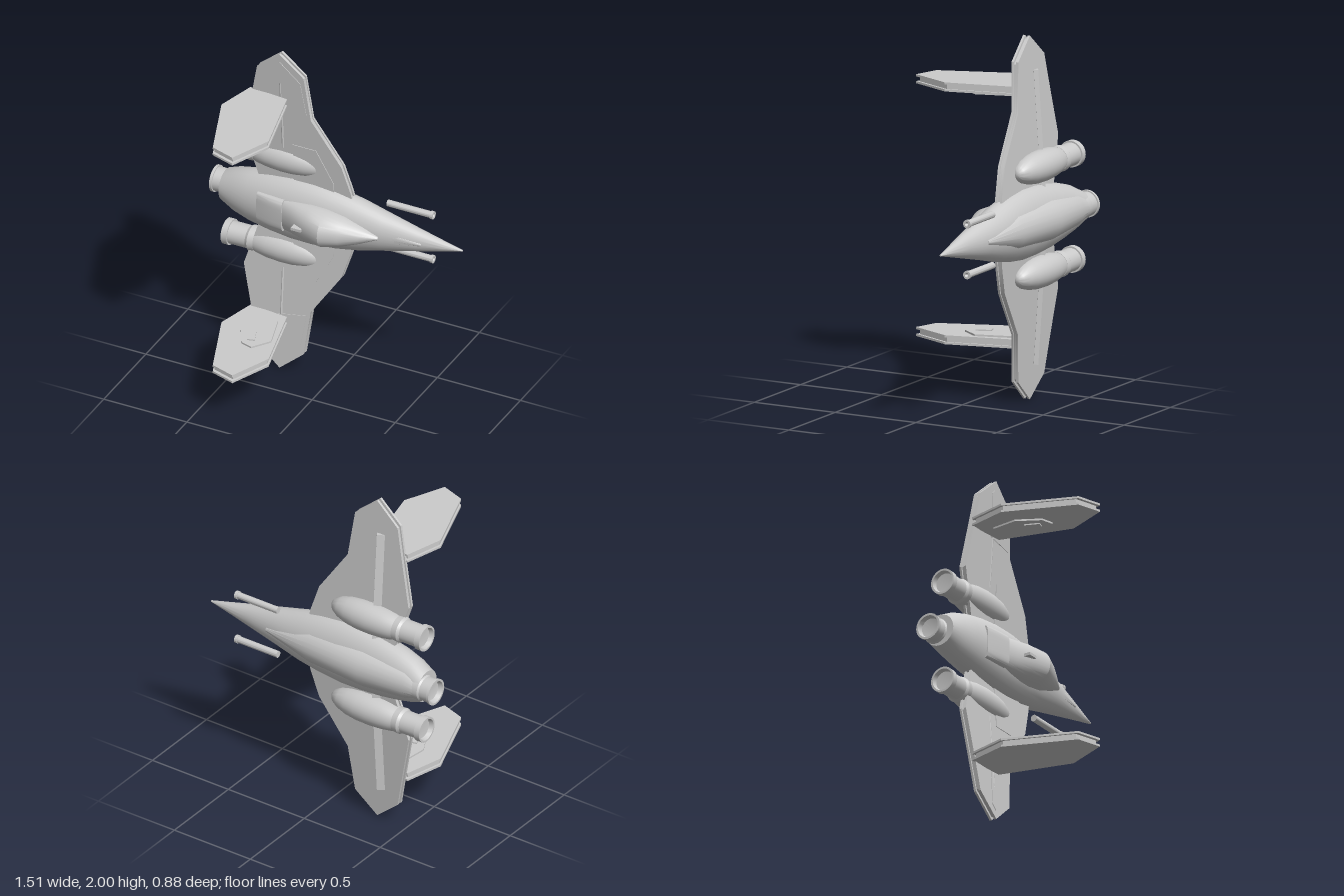
import * as THREE from 'three';
import { toCreasedNormals } from 'three/addons/utils/BufferGeometryUtils.js';

const grey = new THREE.MeshStandardMaterial({ color: 0xcccccc });

function add(parent, name, geometry, crease = 0.5) {
  const mesh = new THREE.Mesh(toCreasedNormals(geometry, crease), grey);
  mesh.name = name;
  parent.add(mesh);
  return mesh;
}

// Loft along x; each station is [x, halfWidthY, centreZ, heightUp, heightDown]
function loft(stations, sides = 32, power = 1) {
  const pos = [], idx = [];
  const bend = v => Math.sign(v) * Math.pow(Math.abs(v), power);
  for (const [x, w, zc, up, down] of stations) {
    for (let i = 0; i < sides; i++) {
      const a = (i / sides) * Math.PI * 2;
      const s = bend(Math.sin(a));
      pos.push(x, 1 + w * bend(Math.cos(a)), zc + s * (s > 0 ? up : down));
    }
  }
  const n = stations.length;
  for (let k = 0; k < n - 1; k++) {
    for (let i = 0; i < sides; i++) {
      const a = k * sides + i, b = k * sides + (i + 1) % sides;
      idx.push(a, b, b + sides, a, b + sides, a + sides);
    }
  }
  // End caps
  for (const [k, front] of [[0, false], [n - 1, true]]) {
    const c = pos.length / 3;
    pos.push(stations[k][0], 1, stations[k][2]);
    for (let i = 0; i < sides; i++) {
      const a = k * sides + i, b = k * sides + (i + 1) % sides;
      if (front) idx.push(c, a, b); else idx.push(c, b, a);
    }
  }
  const g = new THREE.BufferGeometry();
  g.setAttribute('position', new THREE.Float32BufferAttribute(pos, 3));
  g.setIndex(idx);
  g.computeVertexNormals();
  return g;
}

// Round body along x; profile is [x, radius] from back to front
function turned(profile, y, z) {
  const pts = profile.map(([x, r]) => new THREE.Vector2(r, x));
  return new THREE.LatheGeometry(pts, 32).rotateZ(-Math.PI / 2).translate(0, y, z);
}

const inset = (pts, k) => {
  const cx = pts.reduce((t, p) => t + p[0], 0) / pts.length;
  const cy = pts.reduce((t, p) => t + p[1], 0) / pts.length;
  return pts.map(([x, y]) => [cx + (x - cx) * k, cy + (y - cy) * k]);
};

const slab = (pts, depth) => new THREE.ExtrudeGeometry(
  new THREE.Shape(pts.map(p => new THREE.Vector2(...p))), { depth, bevelEnabled: false });

// Wing height above the ship's side rises toward the tip
const wingZ = y => -0.285 + (Math.abs(y - 1) - 0.15) * 0.07;

function wingSlab(pts, s, low, high) {
  const g = slab(pts.map(([x, y]) => [x, 1 + s * (y - 1)]), high - low);
  const p = g.attributes.position;
  for (let i = 0; i < p.count; i++) p.setZ(i, p.getZ(i) + low + wingZ(p.getY(i)));
  g.computeVertexNormals();
  return g;
}

function finSlab(pts, yBottom, yTop) {
  return slab(pts, yTop - yBottom).rotateX(Math.PI / 2).translate(0, yTop, 0);
}

const wingOutline = [[0.12, 1.08], [0.10, 1.19], [0.05, 1.35], [-0.125, 1.61], [-0.16, 1.88],
  [-0.30, 2.0], [-0.44, 1.88], [-0.48, 1.68], [-0.535, 1.42], [-0.45, 1.14], [-0.42, 1.08]];
const finOutline = [[-0.49, -0.235], [-0.55, -0.01], [-0.40, 0.39], [-0.26, 0.435], [-0.16, 0.20], [-0.26, -0.215]];

function makeSide(s) {
  const side = new THREE.Group();
  side.name = s > 0 ? 'upperSide' : 'lowerSide';
  const Y = y => 1 + s * (y - 1);

  // Wing: two skins around a recessed core, with thin raised panels
  add(side, 'wingTopSkin', wingSlab(wingOutline, s, 0.008, 0.021));
  add(side, 'wingCore', wingSlab(inset(wingOutline, 0.965), s, -0.009, 0.009));
  add(side, 'wingBottomSkin', wingSlab(wingOutline, s, -0.021, -0.008));
  add(side, 'wingRootPanel', wingSlab([[0.0, 1.23], [-0.10, 1.42], [-0.24, 1.42], [-0.24, 1.16], [0.0, 1.16]], s, 0.018, 0.025));
  add(side, 'wingTipPanel', wingSlab([[-0.15, 1.64], [-0.18, 1.84], [-0.30, 1.95], [-0.33, 1.92], [-0.32, 1.67]], s, 0.018, 0.024));

  // Spar running along the wing
  const spar = new THREE.TubeGeometry(new THREE.LineCurve3(
    new THREE.Vector3(-0.30, Y(1.38), wingZ(1.38) + 0.018),
    new THREE.Vector3(-0.302, Y(1.81), wingZ(1.81) + 0.018)), 1, 0.008, 8);
  add(side, 'topSpar', spar);
  const blade = new THREE.BoxGeometry(0.055, 0.68, 0.025).rotateY(0.6);
  blade.rotateX(s * 0.07).translate(-0.34, Y(1.47), wingZ(1.47) - 0.02);
  add(side, 'bottomSpar', blade);

  // Upright fin, its inner panel and a small block
  const fin = (name, pts, a, b) => add(side, name, finSlab(pts, Math.min(Y(a), Y(b)), Math.max(Y(a), Y(b))));
  fin('finInnerSkin', finOutline, 1.67, 1.682);
  fin('finCore', inset(finOutline, 0.94), 1.681, 1.709);
  fin('finOuterSkin', finOutline, 1.708, 1.72);
  fin('finPanel', [[-0.41, -0.15], [-0.43, 0.0], [-0.36, 0.13], [-0.29, 0.15], [-0.22, 0.05], [-0.28, -0.15]], 1.66, 1.671);
  fin('finBlock', [[-0.37, 0.02], [-0.34, 0.1], [-0.30, 0.09], [-0.33, 0.01]], 1.653, 1.661);

  // Engine pod with a recessed nozzle
  const y = Y(1.29), z = -0.307;
  add(side, 'enginePod', turned([[-0.51, 0], [-0.51, 0.06], [-0.46, 0.074], [-0.4, 0.083], [-0.32, 0.088],
    [-0.24, 0.086], [-0.17, 0.077], [-0.11, 0.06], [-0.07, 0.038], [-0.055, 0.02], [-0.05, 0]], y, z), 0.6);
  add(side, 'engineNozzle', turned([[-0.64, 0], [-0.645, 0.055], [-0.67, 0.062], [-0.67, 0.073], [-0.635, 0.073],
    [-0.635, 0.064], [-0.53, 0.064], [-0.515, 0.073], [-0.48, 0.07], [-0.48, 0]], y, z));

  // Gun barrel
  add(side, 'gunBarrel', turned([[0.28, 0], [0.28, 0.019], [0.54, 0.019], [0.54, 0.023], [0.557, 0.023],
    [0.557, 0.012], [0.54, 0]], Y(1.14), -0.347));
  return side;
}

export function createModel() {
  const model = new THREE.Group();
  model.name = 'spacecraft';

  // Main hull
  add(model, 'hull', loft([
    [-0.68, 0.09, -0.32, 0.09, 0.09], [-0.6, 0.13, -0.305, 0.1, 0.1], [-0.5, 0.158, -0.295, 0.11, 0.108],
    [-0.38, 0.18, -0.29, 0.117, 0.112], [-0.25, 0.193, -0.285, 0.119, 0.115], [-0.12, 0.195, -0.285, 0.119, 0.115],
    [0.02, 0.18, -0.284, 0.112, 0.112], [0.15, 0.155, -0.284, 0.1, 0.105], [0.3, 0.115, -0.285, 0.083, 0.085],
    [0.5, 0.066, -0.289, 0.05, 0.05], [0.65, 0.029, -0.294, 0.024, 0.024], [0.755, 0.004, -0.298, 0.006, 0.006]]), 0.6);

  // Belly fairing
  add(model, 'bellyFairing', loft([
    [-0.68, 0.06, -0.34, 0.04, 0.075], [-0.58, 0.1, -0.33, 0.05, 0.092], [-0.3, 0.12, -0.33, 0.05, 0.115],
    [0.05, 0.105, -0.33, 0.05, 0.09], [0.35, 0.02, -0.34, 0.02, 0.028]], 24), 0.35);

  // Cockpit canopy and the block behind it
  add(model, 'canopy', loft([
    [-0.27, 0.095, -0.2, 0.045, 0.03], [-0.2, 0.102, -0.2, 0.072, 0.03], [-0.1, 0.11, -0.2, 0.115, 0.03],
    [0.0, 0.105, -0.2, 0.145, 0.03], [0.1, 0.085, -0.2, 0.108, 0.03], [0.2, 0.05, -0.205, 0.065, 0.03],
    [0.295, 0.01, -0.215, 0.025, 0.02]], 32, 0.9), 0.5);
  add(model, 'canopyRear', loft([
    [-0.425, 0.095, -0.2, 0.025, 0.04], [-0.34, 0.097, -0.2, 0.045, 0.04], [-0.26, 0.097, -0.2, 0.055, 0.04]], 32, 0.5));
  add(model, 'canopyHandle', new THREE.BoxGeometry(0.06, 0.016, 0.04).translate(-0.137, 1, -0.095));

  // Slim ridge on the nose
  add(model, 'noseRidge', loft([
    [0.18, 0.07, -0.21, 0.012, 0.02], [0.35, 0.04, -0.222, 0.01, 0.02], [0.53, 0.01, -0.252, 0.012, 0.02]], 12), 0.6);

  // Central engine nozzle
  add(model, 'centralNozzle', turned([[-0.72, 0], [-0.73, 0.055], [-0.757, 0.063], [-0.757, 0.075], [-0.742, 0.075],
    [-0.742, 0.068], [-0.69, 0.068], [-0.68, 0.074], [-0.6, 0.074], [-0.6, 0]], 1, -0.343));

  for (const s of [1, -1]) model.add(makeSide(s));
  return model;
}
